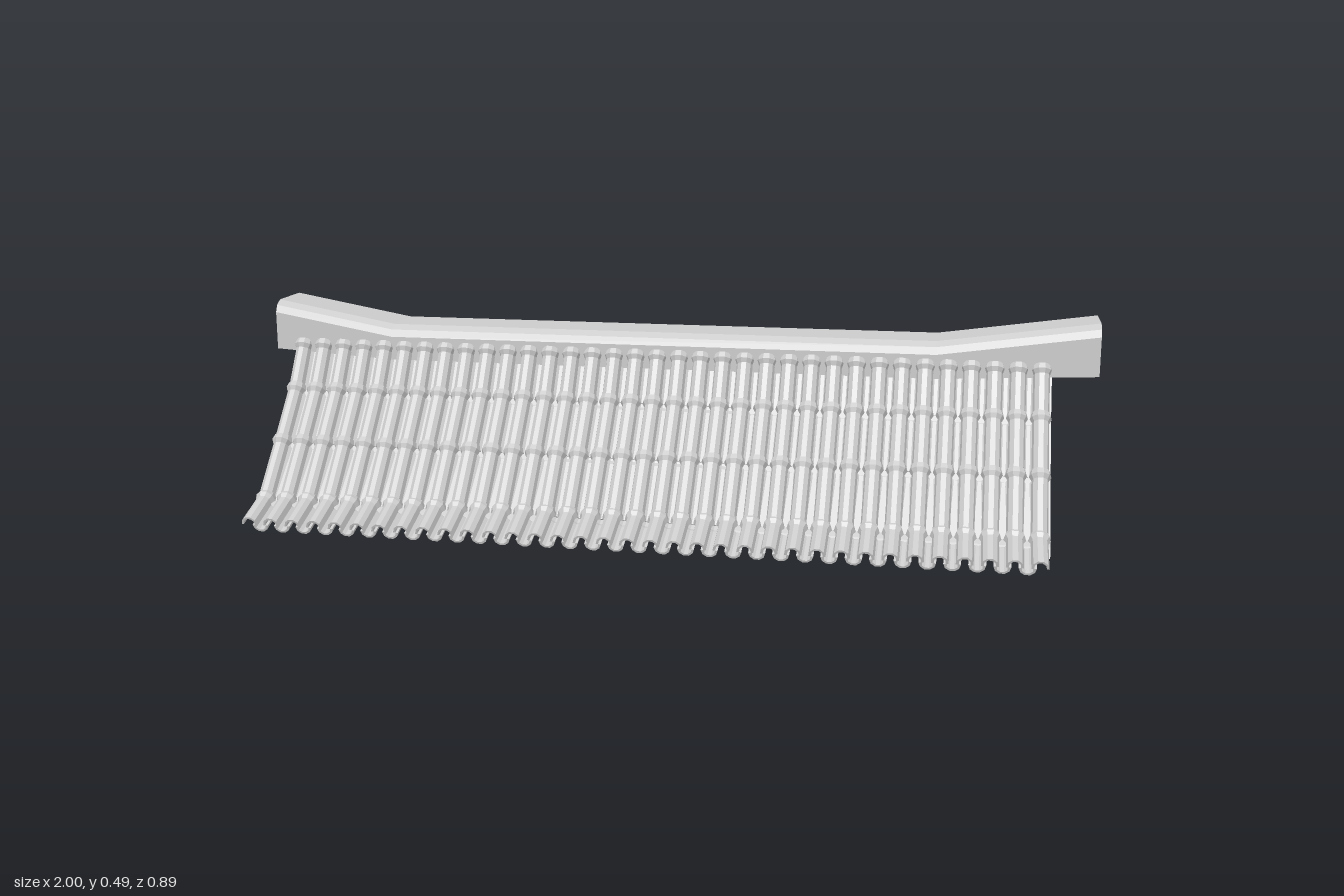
import * as THREE from 'three';
import { mergeGeometries } from 'three/addons/utils/BufferGeometryUtils.js';

const grey = new THREE.MeshStandardMaterial({ color: 0xcccccc, flatShading: true, side: THREE.DoubleSide });

const CENTER_X = -0.03, WIDTH = 1.84, COLUMNS = 35;
// Slope line as [z, y], from the eave up to the ridge
const SLOPE = [[0.44, 0.022], [0.343, 0.057], [0.235, 0.175], [0.138, 0.285], [0.075, 0.385]];

function moveVertices(geometry, rule) {
  const p = geometry.attributes.position;
  const v = new THREE.Vector3();
  for (let i = 0; i < p.count; i++) {
    rule(v.fromBufferAttribute(p, i));
    p.setXYZ(i, v.x, v.y, v.z);
  }
  geometry.computeVertexNormals();
  return geometry;
}

// Half-round shell along z with a flared socket at its upper end
function tileGeometry(length, radius, height, thickness) {
  const sides = 5, outer = [], inner = [];
  for (let i = 0; i <= sides; i++) {
    const a = Math.PI * i / sides;
    outer.push(new THREE.Vector2(Math.cos(a) * radius, Math.sin(a) * height));
    inner.unshift(new THREE.Vector2(Math.cos(a) * (radius - thickness), Math.sin(a) * (height - thickness)));
  }
  const g = new THREE.ExtrudeGeometry(new THREE.Shape([...outer, ...inner]),
    { depth: 3, steps: 3, bevelEnabled: false });
  const along = [0, length - 0.016, length - 0.006, length + 0.008];
  const flare = [1, 1, 1.3, 1.12];
  return moveVertices(g, v => {
    const k = Math.round(v.z);
    v.set(v.x * flare[k], v.y * flare[k], along[k]);
  });
}

// One course of cover tiles with pan tiles between them
function makeCourse(low, high, offset) {
  const dir = new THREE.Vector3(0, high[1] - low[1], high[0] - low[0]);
  const length = dir.length();
  dir.normalize();
  const side = new THREE.Vector3(-1, 0, 0);
  const up = new THREE.Vector3().crossVectors(dir, side);
  const cover = tileGeometry(length, 0.019, 0.021, 0.005);
  const pan = tileGeometry(length, 0.019, 0.019, 0.005).rotateZ(Math.PI);
  const pitch = (WIDTH - 0.038) / (COLUMNS - 1);
  const parts = [];
  for (let i = 0; i < COLUMNS * 2 - 1; i++) {
    const x = offset + (i / 2 - (COLUMNS - 1) / 2) * pitch;
    const m = new THREE.Matrix4().makeBasis(side, up, dir).setPosition(x, low[1], low[0]);
    parts.push((i % 2 ? pan : cover).clone().applyMatrix4(m));
  }
  return new THREE.Mesh(mergeGeometries(parts), grey);
}

function makeSlope(name, offset) {
  const slope = new THREE.Group();
  slope.name = name;
  for (let i = 0; i < SLOPE.length - 1; i++) {
    const course = makeCourse(SLOPE[i], SLOPE[i + 1], offset);
    course.name = 'tileCourse' + (i + 1);
    slope.add(course);
  }
  return slope;
}

// Solid core under the tiles, cut to the curve of the slopes
function makeCore(name, x0, x1) {
  const half = [[0.36, 0.02], [0.35, 0.043], [0.335, 0.052], [0.225, 0.165], [0.128, 0.275], [0.068, 0.37]];
  const points = [...half, ...half.map(([z, y]) => [-z, y]).reverse()].map(p => new THREE.Vector2(...p));
  const g = new THREE.ExtrudeGeometry(new THREE.Shape(points), { depth: x1 - x0, bevelEnabled: false });
  g.rotateY(Math.PI / 2).translate(x0, 0, 0);
  const core = new THREE.Mesh(g, grey);
  core.name = name;
  return core;
}

// Ridge beam with chamfered top corners and upswept ends
function makeRidge() {
  const half = [[0.085, 0.355], [0.085, 0.412], [0.077, 0.429], [0.058, 0.44]];
  const points = [...half, ...half.map(([z, y]) => [-z, y]).reverse()].map(p => new THREE.Vector2(...p));
  const g = new THREE.ExtrudeGeometry(new THREE.Shape(points), { depth: 3, steps: 3, bevelEnabled: false });
  g.rotateY(Math.PI / 2);
  const stations = [-1, -0.7, 0.63, 1];
  moveVertices(g, v => {
    const k = Math.round(v.x);
    v.x = stations[k];
    if (k === 0 || k === 3) v.y += v.y > 0.38 ? 0.053 : 0.018;
  });
  const ridge = new THREE.Mesh(g, grey);
  ridge.name = 'ridgeBeam';
  return ridge;
}

export function createModel() {
  const model = new THREE.Group();
  model.name = 'tiledRoof';
  const front = makeSlope('frontSlope', CENTER_X);
  const back = makeSlope('backSlope', -CENTER_X);
  back.rotation.y = Math.PI;
  model.add(front, back, makeRidge(),
    makeCore('leftCore', 0.17, 0.895), makeCore('rightCore', -0.94, -0.23));
  return model;
}
